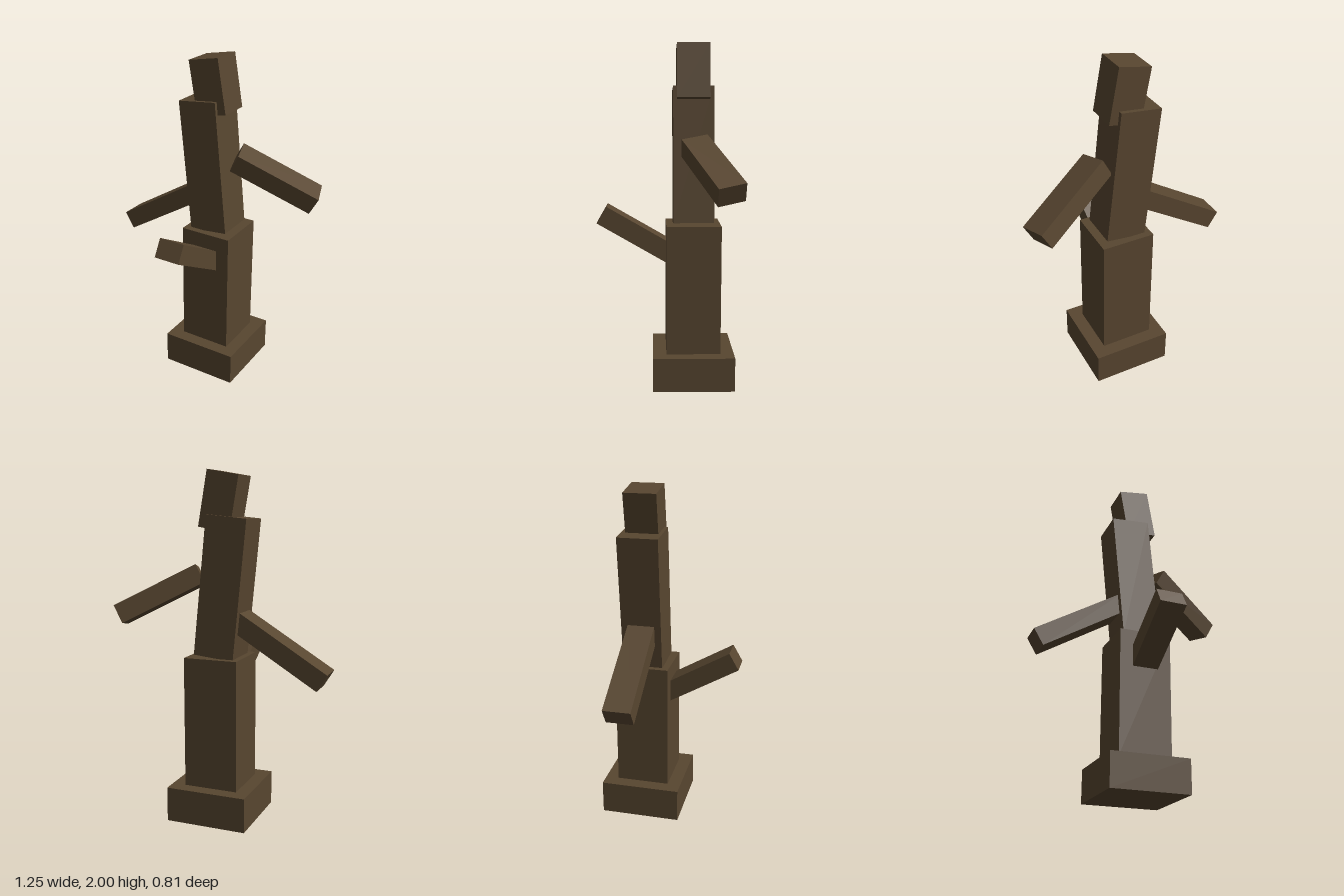
import * as THREE from 'three';

export function createModel() {
  const model = new THREE.Group();
  const bark = new THREE.MeshStandardMaterial({ color: 0x584630 });
  bark.name = 'darkBark';
  const deg = THREE.MathUtils.degToRad;

  const block = (name, size, position, rotation = [0, 0, 0]) => {
    const mesh = new THREE.Mesh(new THREE.BoxGeometry(...size), bark);
    mesh.name = name;
    mesh.position.set(...position);
    mesh.rotation.set(...rotation.map(deg));
    model.add(mesh);
    return mesh;
  };

  // Stacked trunk, leaning more and more towards the top
  block('base', [0.475, 0.2, 0.475], [0.027, 0.1, -0.157]);
  block('lowerTrunk', [0.317, 0.757, 0.317], [0.027, 0.5785, -0.157]);
  block('upperTrunk', [0.238, 0.79, 0.236], [-0.0165, 1.353, -0.157], [0, 0, 5.8]);
  block('trunkTop', [0.188, 0.315, 0.19], [0, 1.829, -0.155], [0, 0, 10]);

  // Branches
  block('rightBranch', [0.63, 0.112, 0.158], [-0.3295, 1.023, -0.157], [0, 0, 31.7]);
  block('frontBranch', [0.158, 0.113, 0.55], [0.026, 0.8775, 0.14], [-30, 0, 0]);

  // Left branch slopes down and back, with a slight twist
  const leftBranch = block('leftBranch', [0.52, 0.113, 0.158], [0.359, 1.303, -0.245]);
  const along = new THREE.Vector3(0.83, -0.447, -0.335).normalize();
  const up = new THREE.Vector3().crossVectors(new THREE.Vector3(0.28, -0.16, 0.945), along).normalize();
  const across = new THREE.Vector3().crossVectors(along, up);
  leftBranch.quaternion.setFromRotationMatrix(new THREE.Matrix4().makeBasis(along, up, across));

  return model;
}
